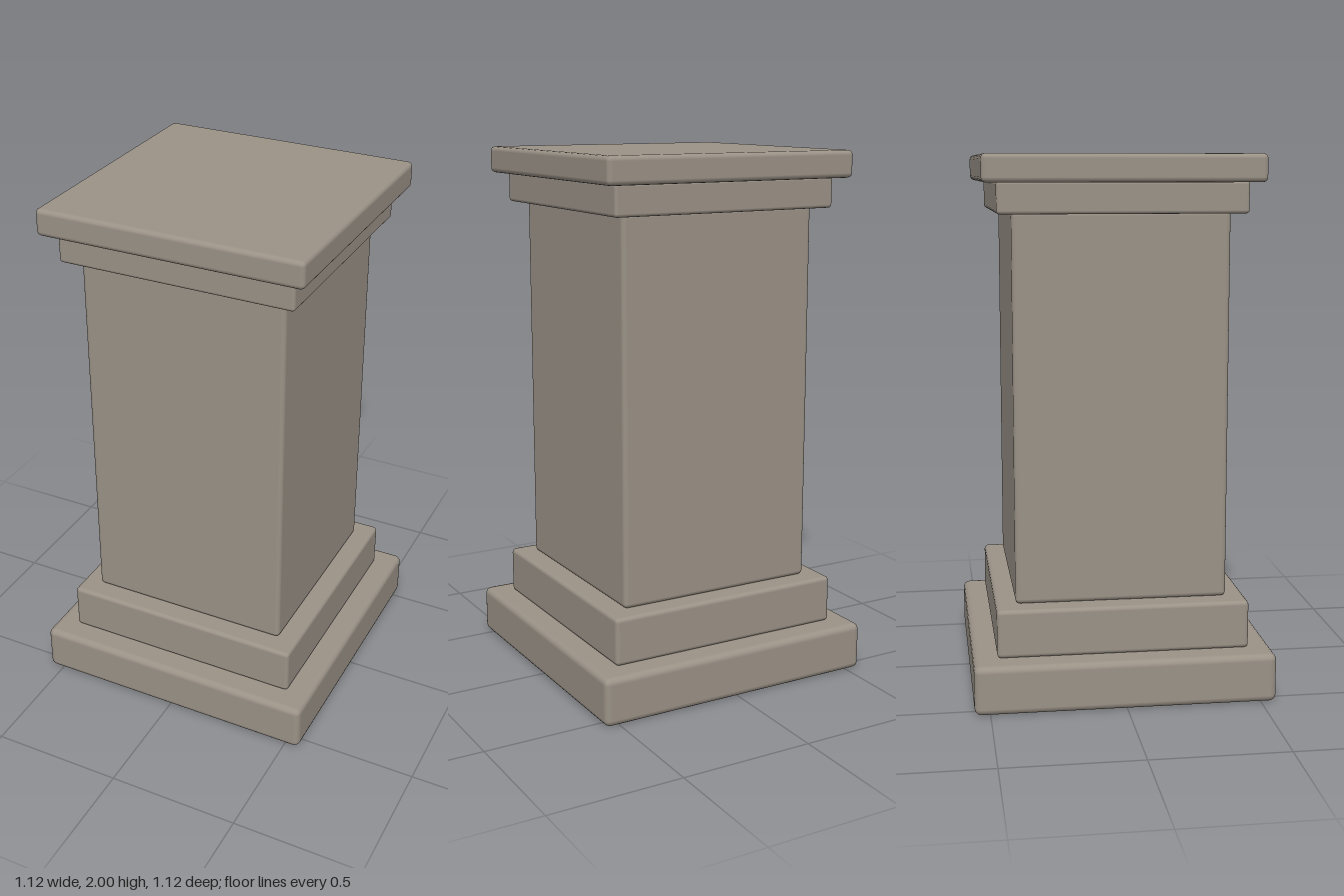
import * as THREE from 'three';
import { RoundedBoxGeometry } from 'three/addons/geometries/RoundedBoxGeometry.js';

export function createModel() {
  const group = new THREE.Group();
  group.name = 'pedestal';
  const stone = new THREE.MeshStandardMaterial({ color: 0x9b9287 });

  // Square slab with softly rounded edges, spanning bottom to top
  const slab = (name, width, bottom, top, radius) => {
    const geometry = new RoundedBoxGeometry(width, top - bottom, width, 2, radius);
    const mesh = new THREE.Mesh(geometry, stone);
    mesh.name = name;
    mesh.position.y = (bottom + top) / 2;
    group.add(mesh);
  };

  // Stepped base
  slab('plinth', 1.115, 0, 0.183, 0.025);
  slab('baseStep', 0.937, 0.183, 0.364, 0.016);

  // Shaft
  slab('shaft', 0.79, 0.364, 1.8, 0.018);

  // Stepped top
  slab('neckMoulding', 0.9, 1.79, 1.905, 0.012);
  slab('capSlab', 1.007, 1.9, 2, 0.018);

  return group;
}
